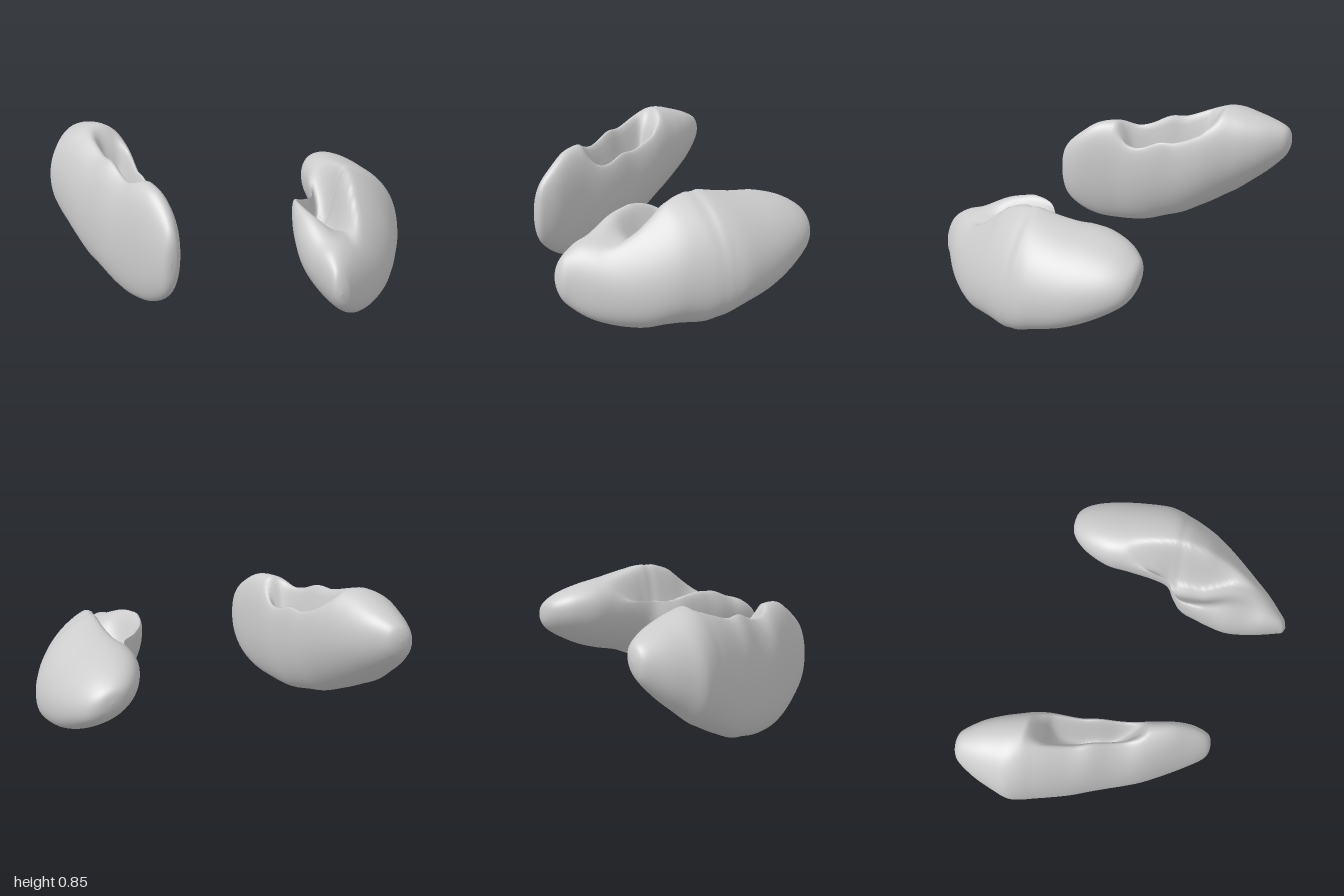
import * as THREE from 'three';

const RING = 96; // points around each cross-section
const STEPS = 6; // rings between two stations

// Smooth interpolation of station rows
function sample(rows, t) {
  const i = Math.min(Math.floor(t), rows.length - 2);
  const f = t - i;
  const row = (k) => rows[THREE.MathUtils.clamp(k, 0, rows.length - 1)];
  return rows[i].map((p1, c) => {
    const p0 = row(i - 1)[c], p2 = row(i + 1)[c], p3 = row(i + 2)[c];
    return p1 + 0.5 * f * (p2 - p0 + f * (2 * p0 - 5 * p1 + 4 * p2 - p3 + f * (3 * (p1 - p2) + p3 - p0)));
  });
}

// Lofts a bean through tilted oval cross-sections, pressing a hollow into the top
// row: [z, xMin, xMax, yMin, yMax, hollowDepth, hollowPosition (-1..1)]
function beanGeometry({ rows, tilt, widths }) {
  const positions = [], index = [];
  const rings = (rows.length - 1) * STEPS;
  const round = (n) => Math.sign(n) * Math.abs(n) ** 0.95;
  const upright = Math.sqrt(1 - tilt * tilt);
  for (let i = 0; i <= rings; i++) {
    const [z, x0, x1, y0, y1, depth, at] = sample(rows, i / STEPS);
    for (let j = 0; j < RING; j++) {
      const a = (j / RING) * Math.PI * 2;
      const u = round(Math.cos(a)), v = round(Math.sin(a));
      const width = u < at ? widths[0] : widths[1];
      const press = Math.max(0, depth) * Math.exp(-(Math.abs((u - at) / width) ** 3))
        * THREE.MathUtils.smoothstep(v, 0, 0.6);
      positions.push(
        (x0 + x1) / 2 + ((x1 - x0) / 2) * u,
        (y0 + y1) / 2 + ((y1 - y0) / 2) * (v * upright + u * tilt) - press,
        z
      );
      if (i < rings) {
        const k = i * RING + j, n = i * RING + ((j + 1) % RING);
        index.push(k, n, k + RING, n, n + RING, k + RING);
      }
    }
  }
  const geometry = new THREE.BufferGeometry();
  geometry.setAttribute('position', new THREE.Float32BufferAttribute(positions, 3));
  geometry.setIndex(index);
  geometry.computeVertexNormals();
  return geometry;
}

// Slim bean on the right, with a long slot along its top
const rightRows = [
  [-0.83, -0.80, -0.80, 0.66, 0.66, 0, 0.4],
  [-0.82, -0.85, -0.75, 0.60, 0.71, 0, 0.4],
  [-0.79, -0.89, -0.71, 0.54, 0.75, 0, 0.4],
  [-0.70, -0.94, -0.64, 0.44, 0.79, 0, 0.4],
  [-0.60, -0.975, -0.59, 0.35, 0.82, 0, 0.4],
  [-0.52, -0.995, -0.56, 0.28, 0.84, 0, 0.4],
  [-0.45, -0.98, -0.535, 0.235, 0.845, 0, 0.4],
  [-0.38, -0.95, -0.515, 0.19, 0.83, 0.10, 0.4],
  [-0.32, -0.925, -0.505, 0.155, 0.81, 0.28, 0.4],
  [-0.20, -0.87, -0.49, 0.09, 0.765, 0.34, 0.4],
  [-0.10, -0.82, -0.47, 0.06, 0.76, 0.34, 0.4],
  [0.00, -0.77, -0.45, 0.03, 0.71, 0.30, 0.4],
  [0.08, -0.735, -0.435, 0.02, 0.69, 0.16, 0.4],
  [0.18, -0.69, -0.42, 0.02, 0.71, 0, 0.4],
  [0.30, -0.62, -0.395, 0.04, 0.69, 0, 0.4],
  [0.40, -0.56, -0.38, 0.09, 0.62, 0, 0.4],
  [0.48, -0.51, -0.39, 0.16, 0.54, 0, 0.4],
  [0.515, -0.48, -0.41, 0.24, 0.46, 0, 0.4],
  [0.525, -0.45, -0.45, 0.35, 0.35, 0, 0.4],
];

// Broad bean on the left, with a hollow behind its front lip
const leftRows = [
  [-0.53, 0.73, 0.73, 0.45, 0.45, 0, -0.9],
  [-0.52, 0.66, 0.80, 0.39, 0.51, 0, -0.9],
  [-0.48, 0.60, 0.86, 0.33, 0.55, 0, -0.9],
  [-0.40, 0.54, 0.91, 0.27, 0.59, 0, -0.9],
  [-0.28, 0.495, 0.955, 0.20, 0.62, 0, -0.9],
  [-0.15, 0.49, 0.985, 0.145, 0.635, 0.01, -0.9],
  [0.00, 0.475, 1.00, 0.10, 0.66, 0.14, -0.86],
  [0.09, 0.45, 0.985, 0.06, 0.68, 0.27, -0.78],
  [0.14, 0.375, 0.97, 0.04, 0.69, 0.34, -0.58],
  [0.20, 0.31, 0.95, 0.02, 0.70, 0.35, -0.45],
  [0.30, 0.28, 0.905, 0.02, 0.67, 0.32, -0.34],
  [0.38, 0.27, 0.865, 0.015, 0.61, 0.22, -0.24],
  [0.48, 0.27, 0.80, 0.00, 0.54, 0.09, -0.1],
  [0.60, 0.30, 0.70, 0.015, 0.46, 0.01, 0],
  [0.70, 0.33, 0.60, 0.05, 0.42, 0, 0],
  [0.78, 0.36, 0.50, 0.11, 0.36, 0, 0],
  [0.815, 0.375, 0.46, 0.16, 0.30, 0, 0],
  [0.83, 0.41, 0.41, 0.23, 0.23, 0, 0],
];

export function createModel() {
  const group = new THREE.Group();
  group.name = 'kidneyPair';
  const material = new THREE.MeshStandardMaterial({ color: 0xcccccc, side: THREE.DoubleSide });
  const parts = {
    rightKidney: { rows: rightRows, tilt: 0.18, widths: [0.34, 0.33] },
    leftKidney: { rows: leftRows, tilt: -0.38, widths: [0.45, 0.27] },
  };
  for (const [name, shape] of Object.entries(parts)) {
    const mesh = new THREE.Mesh(beanGeometry(shape), material);
    mesh.name = name;
    group.add(mesh);
  }
  return group;
}
